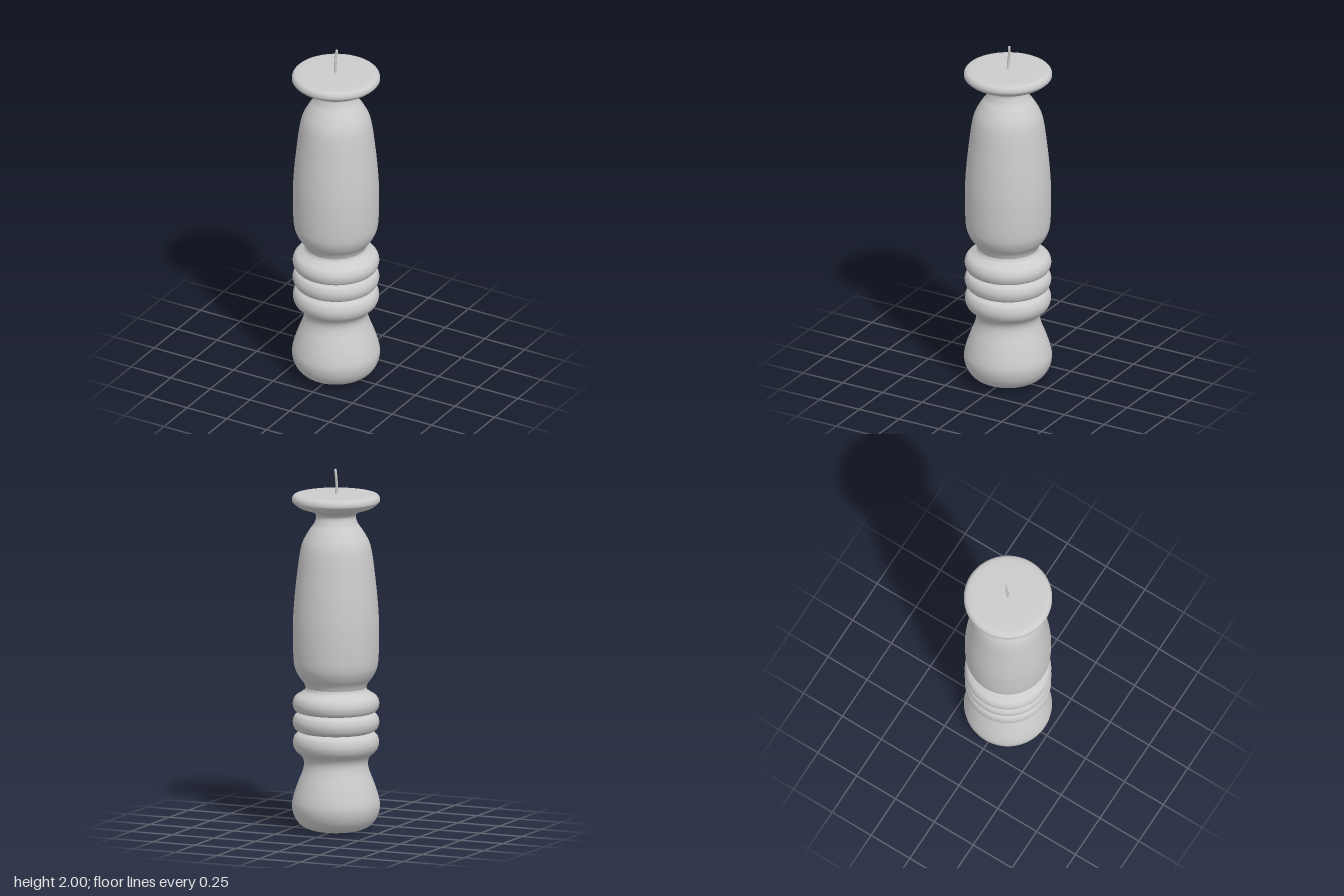
import * as THREE from 'three';

const material = new THREE.MeshStandardMaterial({ color: 0xcccccc, side: THREE.DoubleSide });
const SIDES = 64;

// Turned part: a smooth curve through [radius, height] points, spun about y
function turned(name, points, samples) {
  const curve = new THREE.SplineCurve(points.map(([r, y]) => new THREE.Vector2(r, y)));
  const profile = curve.getPoints(samples).map((p) => new THREE.Vector2(Math.max(p.x, 0), p.y));
  const mesh = new THREE.Mesh(new THREE.LatheGeometry(profile, SIDES), material);
  mesh.name = name;
  return mesh;
}

export function createModel() {
  const group = new THREE.Group();
  group.name = 'turnedCandle';

  // Bulbous foot, flaring up into the lowest bead
  group.add(turned('foot', [
    [0, 0.002], [0.07, 0.003], [0.135, 0.01], [0.19, 0.035], [0.225, 0.08], [0.24, 0.14],
    [0.23, 0.2], [0.207, 0.27], [0.182, 0.335], [0.174, 0.38], [0.187, 0.415],
    [0.222, 0.449], [0.235, 0.49], [0.224, 0.53], [0.195, 0.55],
  ], 64));

  // Middle bead
  group.add(turned('middleBead', [
    [0.195, 0.55], [0.224, 0.566], [0.236, 0.605], [0.224, 0.641], [0.195, 0.657],
  ], 20));

  // Upper bead, narrowing to the neck below the body
  group.add(turned('upperBead', [
    [0.195, 0.657], [0.224, 0.668], [0.236, 0.706], [0.224, 0.742], [0.194, 0.763],
    [0.172, 0.779], [0.165, 0.795],
  ], 28));

  // Long tapering body
  group.add(turned('body', [
    [0.165, 0.795], [0.177, 0.822], [0.205, 0.86], [0.226, 0.91], [0.233, 0.98],
    [0.235, 1.07], [0.234, 1.17], [0.225, 1.3], [0.211, 1.43], [0.198, 1.53],
    [0.182, 1.595], [0.15, 1.655], [0.122, 1.695], [0.109, 1.727],
  ], 60));

  // Flared underside of the drip plate
  group.add(turned('plateUnderside', [
    [0.109, 1.727], [0.109, 1.745], [0.127, 1.763], [0.165, 1.776], [0.205, 1.791], [0.232, 1.812],
  ], 20));

  // Plate rim and gently domed top
  group.add(turned('plateRim', [
    [0.232, 1.812], [0.24, 1.822], [0.24, 1.838], [0.234, 1.85], [0.227, 1.856],
  ], 12));
  group.add(turned('plateTop', [[0.227, 1.856], [0.2, 1.861], [0.1, 1.863], [0, 1.863]], 12));

  // Slightly bent wick with a tapered tip
  const path = new THREE.CatmullRomCurve3([
    new THREE.Vector3(0, 1.855, 0),
    new THREE.Vector3(-0.004, 1.9, 0),
    new THREE.Vector3(-0.004, 1.95, -0.006),
    new THREE.Vector3(0, 1.995, -0.008),
  ]);
  const wick = new THREE.Mesh(new THREE.TubeGeometry(path, 16, 0.0075, 8), material);
  wick.name = 'wick';
  const tip = new THREE.Mesh(new THREE.SphereGeometry(0.0075, 8, 6), material);
  tip.name = 'wickTip';
  tip.position.set(0, 1.9935, -0.008);
  group.add(wick, tip);

  return group;
}
